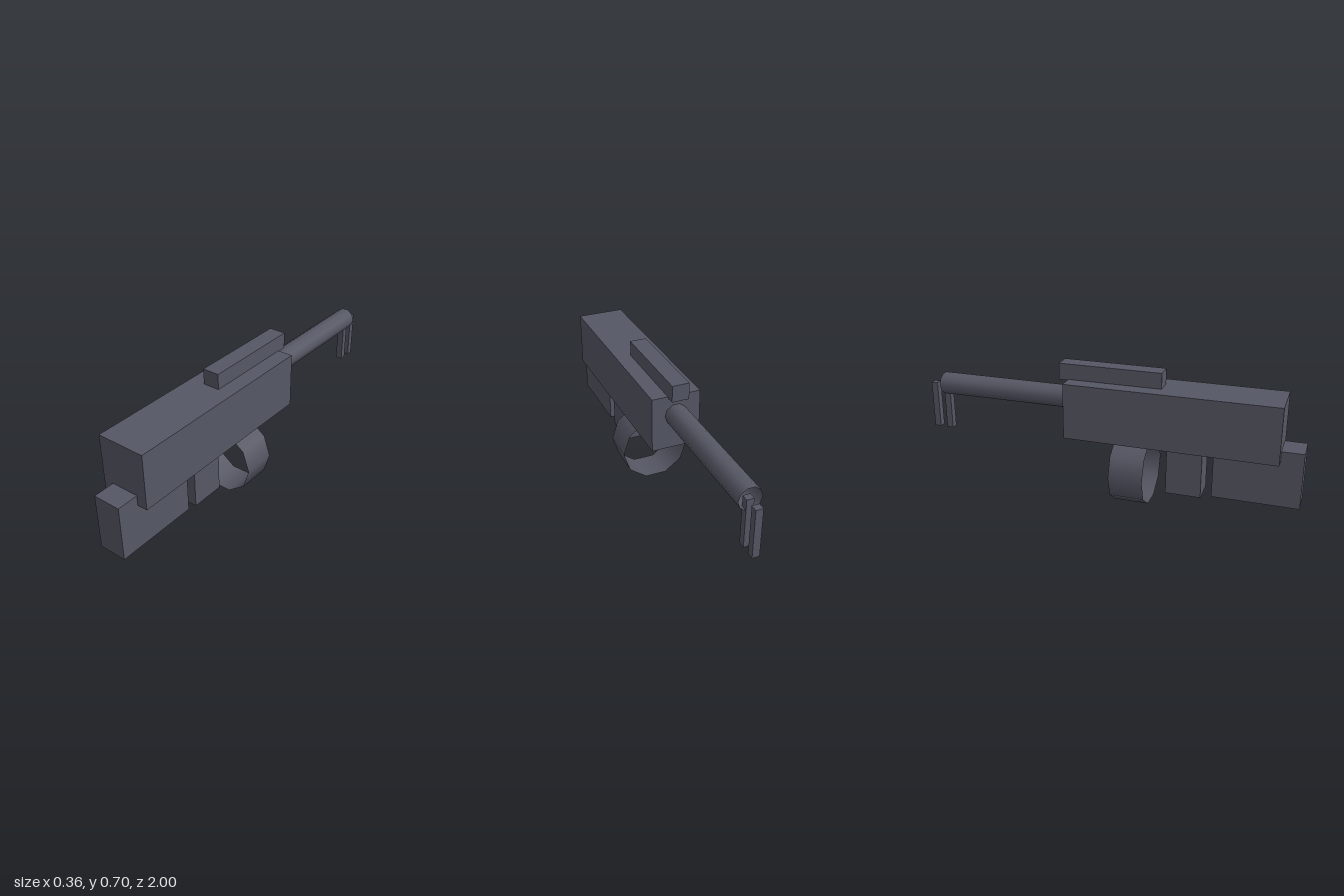
import * as THREE from 'three';

export function createModel() {
  const group = new THREE.Group();
  const metal = new THREE.MeshStandardMaterial({ color: 0x555764 });
  metal.name = 'slate grey';
  const sheet = metal.clone(); // same colour, for the open thin tubes
  sheet.side = THREE.DoubleSide;
  sheet.name = 'slate grey sheet';

  function add(name, geometry, material) {
    const mesh = new THREE.Mesh(geometry, material);
    mesh.name = name;
    group.add(mesh);
  }

  // Box given by half width and its y and z ranges
  function block(name, halfWidth, y0, y1, z0, z1) {
    const geometry = new THREE.BoxGeometry(halfWidth * 2, y1 - y0, z1 - z0);
    geometry.translate(0, (y0 + y1) / 2, (z0 + z1) / 2);
    add(name, geometry, metal);
  }

  // Open ten-sided tube along z, with a corner on each side
  function openTube(name, radius, y, z0, z1) {
    const geometry = new THREE.CylinderGeometry(radius, radius, z1 - z0, 10, 1, true, Math.PI / 2);
    geometry.rotateX(Math.PI / 2).translate(0, y, (z0 + z1) / 2);
    add(name, geometry, sheet);
  }

  block('body', 0.126, 0.335, 0.623, -0.19, 0.89);
  block('topRail', 0.044, 0.618, 0.704, -0.24, 0.295);
  block('stock', 0.072, 0.101, 0.388, 0.57, 1.0);
  block('grip', 0.068, 0.083, 0.36, 0.335, 0.515);

  openTube('barrel', 0.058, 0.517, -0.925, -0.185);
  openTube('ringGuard', 0.18, 0.171, 0.065, 0.242);

  // Pair of prongs hanging at the muzzle
  block('innerProng', 0.018, 0.265, 0.516, -0.925, -0.89);
  block('outerProng', 0.018, 0.265, 0.516, -1.0, -0.965);

  return group;
}
